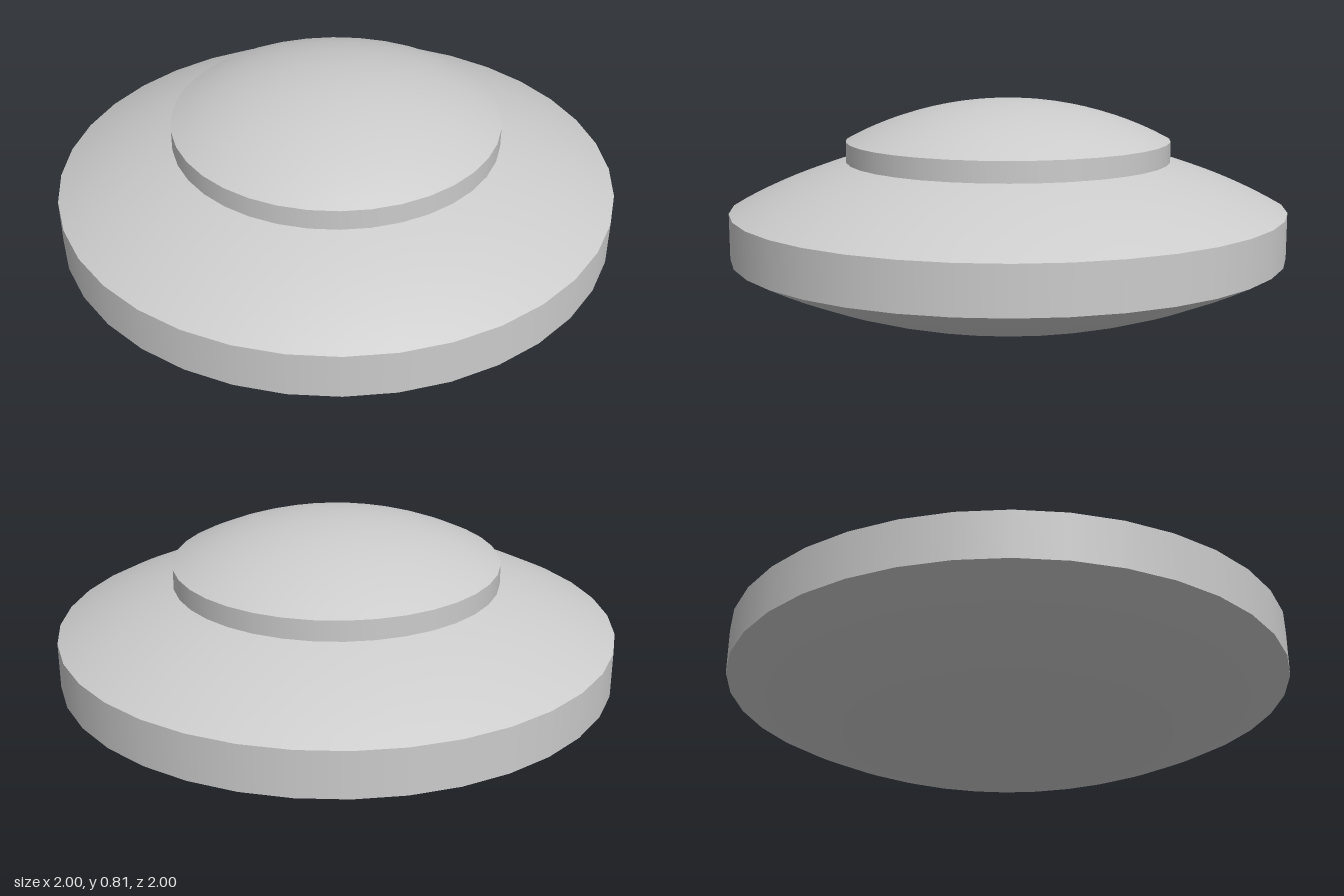
import * as THREE from 'three';

const SIDES = 36;
const RIM = 1, NECK = 0.585;
const RIM_LOW = 0.253, RIM_HIGH = 0.417, NECK_HIGH = 0.66, TOP = 0.805;

// Points on a spherical cap of base radius r and height h, from radius r0 to r1
function capArc(r, h, baseY, r0, r1, steps, dir = 1) {
  const R = (r * r + h * h) / (2 * h);
  const points = [];
  for (let i = 0; i <= steps; i++) {
    const a0 = Math.asin(r0 / R), a1 = Math.asin(r1 / R);
    const a = a0 + (a1 - a0) * i / steps;
    points.push(new THREE.Vector2(R * Math.sin(a), baseY + dir * (R * Math.cos(a) - R + h)));
  }
  return points;
}

export function createModel() {
  const group = new THREE.Group();
  const material = new THREE.MeshStandardMaterial({ color: 0xcccccc });

  // Each smooth band is its own lathe so the edges between bands stay sharp
  const addBand = (name, points) => {
    const mesh = new THREE.Mesh(new THREE.LatheGeometry(points, SIDES), material);
    mesh.name = name;
    group.add(mesh);
    return points[points.length - 1].y;
  };
  const wall = (r, y0, y1) => [new THREE.Vector2(r, y0), new THREE.Vector2(r, y1)];

  // Saucer: curved belly, straight rim and domed shoulder
  addBand('belly', capArc(RIM, RIM_LOW, RIM_LOW, 0, RIM, 14, -1));
  addBand('rim', wall(RIM, RIM_LOW, RIM_HIGH));
  const neckLow = addBand('shoulder', capArc(RIM, RIM_LOW, RIM_HIGH, RIM, NECK, 8));

  // Raised cap: short wall and shallow dome
  addBand('capWall', wall(NECK, neckLow, NECK_HIGH));
  addBand('capDome', capArc(NECK, TOP - NECK_HIGH, NECK_HIGH, NECK, 0, 12));

  return group;
}
